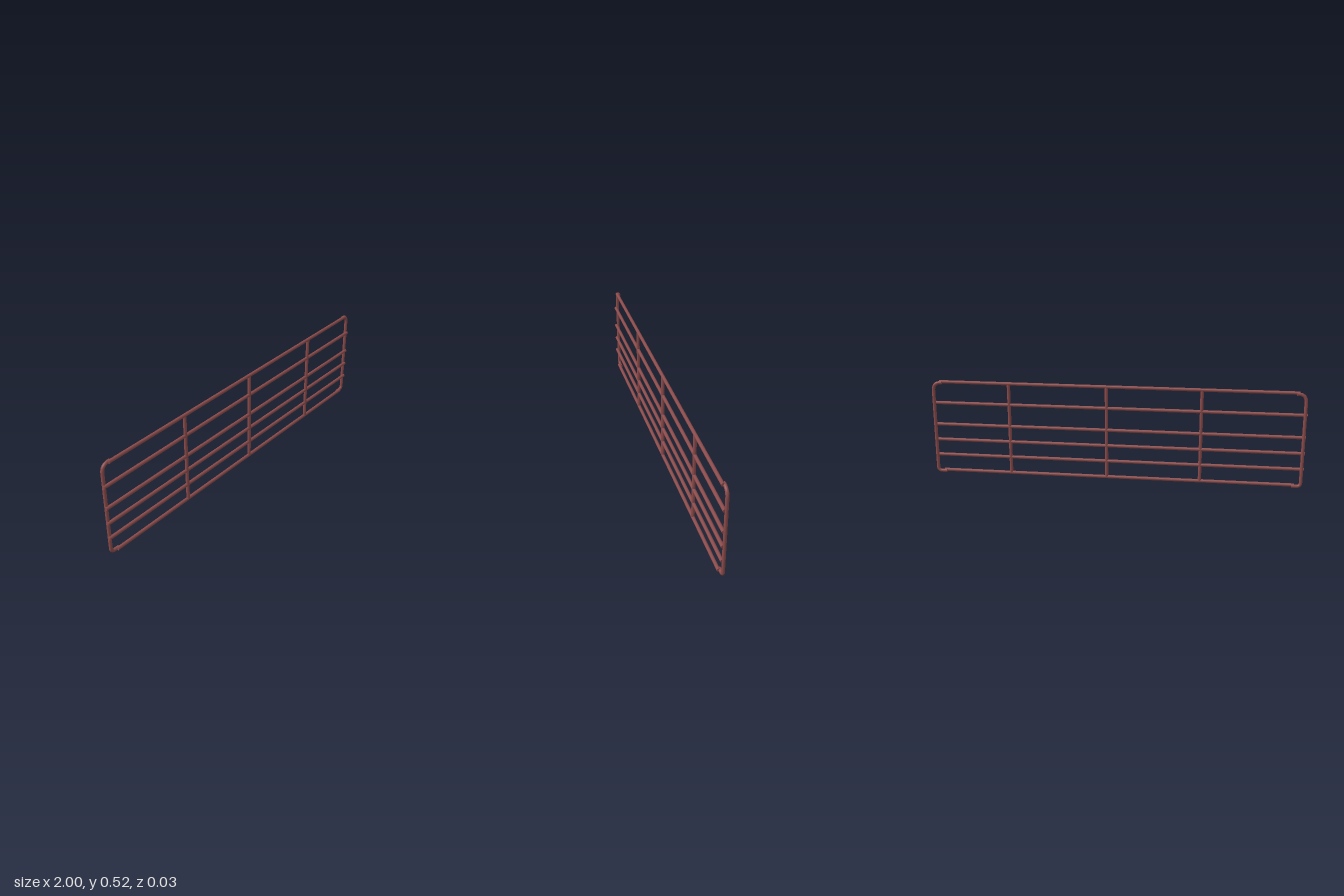
import * as THREE from 'three';

const R = 0.009;        // tube radius
const Z_RAIL = 0.005;   // plane of rails and uprights
const Z_END = -0.004;   // plane of the bent end tubes

export function createModel() {
  const gate = new THREE.Group();
  gate.name = 'gate';
  const paint = new THREE.MeshStandardMaterial({ color: 0x8a4a4a });

  const add = (geometry, name, x, y, z) => {
    const mesh = new THREE.Mesh(geometry, paint);
    mesh.name = name;
    mesh.position.set(x, y, z);
    gate.add(mesh);
    return mesh;
  };

  // Straight tube along x
  const rail = (name, y, x0, x1) => {
    const geometry = new THREE.CylinderGeometry(R, R, x1 - x0, 16).rotateZ(Math.PI / 2);
    return add(geometry, name, (x0 + x1) / 2, y, Z_RAIL);
  };

  // Horizontal rails, closer together towards the bottom
  rail('topRail', 0.514, -0.955, 0.955);
  rail('bottomRail', 0.012, -0.955, 0.955);
  [0.397, 0.276, 0.189, 0.102].forEach((y, i) => rail('middleRail' + (i + 1), y, -1, 0.99));

  // Uprights joining the rails
  [-0.457, 0.045, 0.574].forEach((x, i) =>
    add(new THREE.CylinderGeometry(R, R, 0.502, 16), 'upright' + (i + 1), x, 0.263, Z_RAIL));

  // End tubes, bent inwards at the top and bottom
  const top = 0.511, bottom = R, xEnd = 0.988, xTip = 0.94;
  const bendTop = 0.045, bendBottom = 0.022;
  for (const side of [1, -1]) {
    const p = (x, y) => new THREE.Vector3(side * x, y, 0);
    const path = new THREE.CurvePath();
    path.add(new THREE.LineCurve3(p(xTip, top), p(xEnd - bendTop, top)));
    path.add(new THREE.QuadraticBezierCurve3(
      p(xEnd - bendTop, top), p(xEnd, top), p(xEnd, top - bendTop)));
    path.add(new THREE.LineCurve3(p(xEnd, top - bendTop), p(xEnd, bottom + bendBottom)));
    path.add(new THREE.QuadraticBezierCurve3(
      p(xEnd, bottom + bendBottom), p(xEnd, bottom), p(xEnd - bendBottom, bottom)));
    path.add(new THREE.LineCurve3(p(xEnd - bendBottom, bottom), p(xTip, bottom)));
    const sideName = side > 0 ? 'left' : 'right';
    add(new THREE.TubeGeometry(path, 160, R, 16), sideName + 'EndTube', 0, 0, Z_END);

    // Caps closing the tube tips
    for (const y of [top, bottom]) {
      const cap = new THREE.CircleGeometry(R, 16).rotateY(-side * Math.PI / 2);
      add(cap, sideName + 'EndCap', side * xTip, y, Z_END);
    }
  }
  return gate;
}
